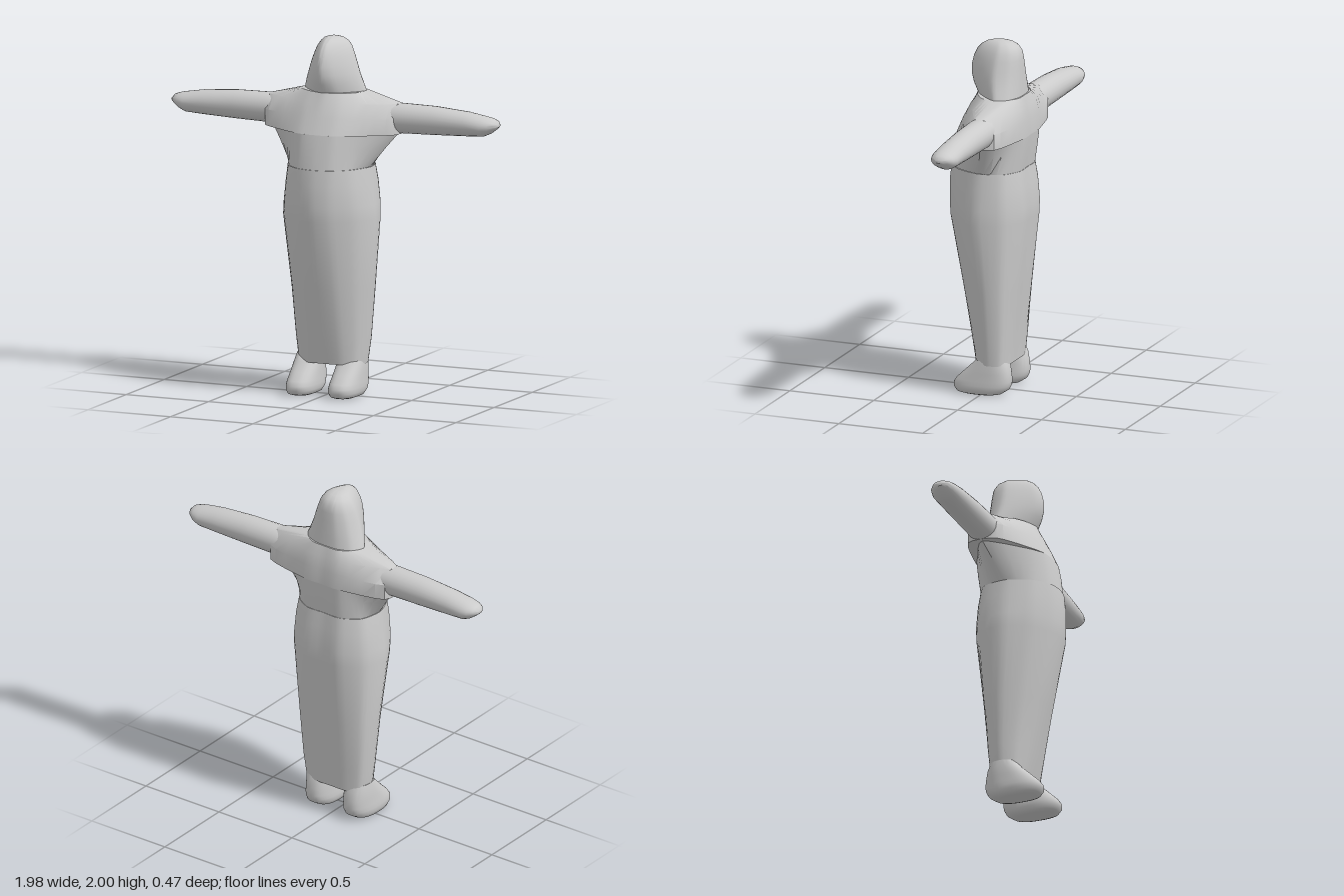
import * as THREE from 'three';
import { toCreasedNormals } from 'three/addons/utils/BufferGeometryUtils.js';

const material = new THREE.MeshStandardMaterial({ color: 0xcccccc });
const SIDES = 48;

// Skin a list of equal-length rings and close both ends
function loft(name, rings, crease = 0.6) {
  const n = rings[0].length;
  const points = rings.flat();
  const index = [];
  for (let r = 0; r < rings.length - 1; r++) {
    for (let i = 0; i < n; i++) {
      const j = (i + 1) % n, a = r * n, b = a + n;
      index.push(a + i, a + j, b + j, a + i, b + j, b + i);
    }
  }
  const cap = (ring, start, flip) => {
    const centre = ring.reduce((s, p) => s.add(p), new THREE.Vector3()).divideScalar(n);
    const c = points.push(centre) - 1;
    for (let i = 0; i < n; i++) {
      const j = (i + 1) % n;
      index.push(c, start + (flip ? j : i), start + (flip ? i : j));
    }
  };
  cap(rings[0], 0, true);
  cap(rings[rings.length - 1], (rings.length - 1) * n, false);
  const geometry = new THREE.BufferGeometry().setFromPoints(points);
  geometry.setIndex(index);
  const mesh = new THREE.Mesh(toCreasedNormals(geometry, crease), material);
  mesh.name = name;
  return mesh;
}

// Horizontal ring from half an outline [x, z], listed front to back
function ring(y, half) {
  const left = half.map(([x, z]) => new THREE.Vector3(x, y, z));
  const right = half.slice(1, -1).reverse().map(([x, z]) => new THREE.Vector3(-x, y, z));
  const curve = new THREE.CatmullRomCurve3([...left, ...right], true, 'catmullrom', 0.35);
  return curve.getPoints(SIDES).slice(0, SIDES);
}

// Oval ring between front and back z, squared off by the power p
function ovalRing(cx, y, hw, zf, zb, p = 0.8) {
  const soft = (v) => Math.sign(v) * Math.abs(v) ** p;
  return Array.from({ length: SIDES }, (_, i) => {
    const t = (i / SIDES) * Math.PI * 2;
    return new THREE.Vector3(cx + hw * soft(Math.sin(t)), y,
      (zf + zb) / 2 + ((zf - zb) / 2) * soft(Math.cos(t)));
  });
}

// Hood: pointed towards the face, round at the back
function hoodRing([y, hw, zf, zb]) {
  const d = zf - zb;
  return ring(y, [[0, zf], [0.36 * hw, zf - 0.1 * d], [0.75 * hw, zf - 0.36 * d],
    [hw, zf - 0.62 * d], [0.8 * hw, zb + 0.14 * d], [0.4 * hw, zb + 0.02 * d], [0, zb]]);
}

// Arm along x, ending in a mitten tip that slopes up from below
function arm(side) {
  const sections = [
    [0.25, 1.64, 1.49, 0.0, -0.17], [0.4, 1.648, 1.48, 0.0, -0.17],
    [0.6, 1.645, 1.485, -0.005, -0.17], [0.8, 1.629, 1.493, -0.01, -0.17],
    [0.9, 1.612, 1.499, -0.013, -0.168], [0.94, 1.604, 1.517, -0.025, -0.16],
    [0.97, 1.594, 1.54, -0.045, -0.14], [0.988, 1.575, 1.556, -0.07, -0.11],
  ];
  return loft(side > 0 ? 'leftArm' : 'rightArm', sections.map(([x, top, bottom, zf, zb]) =>
    Array.from({ length: 24 }, (_, i) => {
      const t = side * (i / 24) * Math.PI * 2;
      return new THREE.Vector3(side * x, (top + bottom) / 2 + ((top - bottom) / 2) * Math.cos(t),
        (zf + zb) / 2 + ((zf - zb) / 2) * Math.sin(t));
    })), 0.8);
}

// Foot: toes forward, ankle hidden inside the hem
function foot(name, cx) {
  const sections = [
    [0.004, 0.055, 0.13, -0.08], [0.012, 0.075, 0.155, -0.11], [0.035, 0.084, 0.173, -0.145],
    [0.06, 0.085, 0.172, -0.158], [0.085, 0.083, 0.155, -0.163], [0.13, 0.08, 0.108, -0.158],
    [0.18, 0.077, 0.055, -0.148], [0.22, 0.07, 0.02, -0.13],
  ];
  return loft(name, sections.map(([y, hw, zf, zb]) => ovalRing(cx, y, hw, zf, zb)), 0.9);
}

export function createModel() {
  const model = new THREE.Group();
  model.name = 'robedFigure';

  // Long skirt of the robe
  model.add(loft('skirt', [
    ring(0.18, [[0, 0.06], [0.1, 0.055], [0.17, 0.02], [0.2, -0.05], [0.18, -0.12], [0.1, -0.15], [0, -0.15]]),
    ring(0.32, [[0, 0.09], [0.1, 0.08], [0.18, 0.03], [0.22, -0.05], [0.195, -0.13], [0.1, -0.16], [0, -0.16]]),
    ring(0.6, [[0, 0.145], [0.1, 0.13], [0.19, 0.065], [0.242, -0.04], [0.215, -0.14], [0.11, -0.188], [0, -0.188]]),
    ring(1.0, [[0, 0.23], [0.1, 0.208], [0.21, 0.125], [0.278, -0.01], [0.24, -0.155], [0.12, -0.23], [0, -0.23]]),
    ring(1.08, [[0, 0.236], [0.1, 0.213], [0.21, 0.13], [0.27, -0.01], [0.24, -0.155], [0.12, -0.233], [0, -0.233]]),
    ring(1.2, [[0, 0.234], [0.1, 0.212], [0.2, 0.13], [0.256, -0.01], [0.23, -0.15], [0.12, -0.222], [0, -0.222]]),
    ring(1.29, [[0, 0.222], [0.1, 0.202], [0.19, 0.125], [0.245, -0.01], [0.215, -0.145], [0.11, -0.21], [0, -0.21]]),
  ]));

  // Chest flaring out to the armpits
  model.add(loft('chest', [
    ring(1.29, [[0, 0.217], [0.1, 0.197], [0.185, 0.122], [0.242, -0.015], [0.21, -0.145], [0.11, -0.208], [0, -0.208]]),
    ring(1.4, [[0, 0.2], [0.1, 0.185], [0.19, 0.115], [0.322, -0.055], [0.2, -0.17], [0.11, -0.224], [0, -0.224]]),
    ring(1.48, [[0, 0.18], [0.1, 0.17], [0.2, 0.105], [0.385, -0.085], [0.2, -0.19], [0.11, -0.232], [0, -0.232]]),
  ]));

  // Shoulders, overhanging the chest
  model.add(loft('shoulders', [
    ring(1.48, [[0, 0.18], [0.1, 0.17], [0.2, 0.125], [0.39, 0], [0.39, -0.17], [0.12, -0.233], [0, -0.233]]),
    ring(1.57, [[0, 0.14], [0.1, 0.13], [0.2, 0.09], [0.39, 0], [0.39, -0.17], [0.12, -0.23], [0, -0.23]]),
    ring(1.645, [[0, 0.105], [0.1, 0.09], [0.2, 0.04], [0.385, -0.055], [0.385, -0.115], [0.12, -0.213], [0, -0.213]]),
    ring(1.7, [[0, 0.08], [0.09, 0.05], [0.16, 0], [0.19, -0.07], [0.165, -0.14], [0.085, -0.192], [0, -0.195]]),
  ]));

  // Hooded head
  model.add(loft('hoodedHead', [
    [1.69, 0.188, 0.075, -0.19], [1.75, 0.168, 0.108, -0.186], [1.8, 0.15, 0.121, -0.182],
    [1.85, 0.134, 0.12, -0.178], [1.9, 0.116, 0.108, -0.174], [1.94, 0.099, 0.088, -0.168],
    [1.97, 0.077, 0.06, -0.15], [1.988, 0.054, 0.03, -0.122], [1.997, 0.03, 0.0, -0.09],
    [2.0, 0.008, -0.035, -0.055],
  ].map(hoodRing), 0.8));

  // Limbs
  for (const side of [1, -1]) model.add(arm(side));
  model.add(foot('leftFoot', 0.12), foot('rightFoot', -0.137));
  return model;
}
